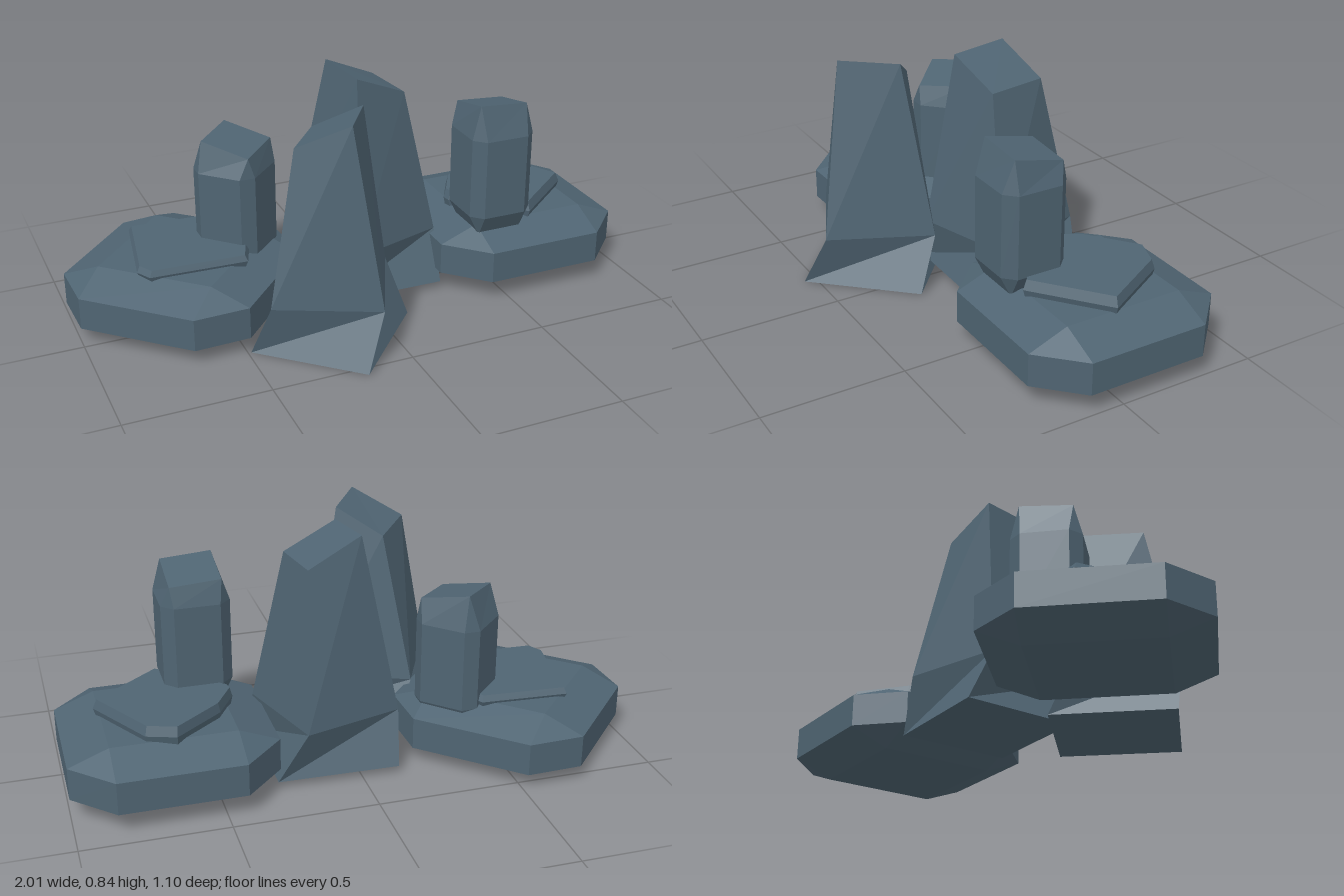
import * as THREE from 'three';

const stone = new THREE.MeshStandardMaterial({ color: 0x4f6472, flatShading: true, roughness: 0.9 });

// Skin closed rings (bottom to top, counter-clockwise from above) and cap both ends
function loft(name, rings) {
  const pos = [];
  const same = (p, q) => p.every((v, i) => Math.abs(v - q[i]) < 1e-5);
  const tri = (a, b, c) => {
    if (!same(a, b) && !same(b, c) && !same(a, c)) pos.push(...a, ...b, ...c);
  };
  const n = rings[0].length;
  for (let r = 0; r < rings.length - 1; r++) {
    for (let i = 0; i < n; i++) {
      const j = (i + 1) % n, lo = rings[r], hi = rings[r + 1];
      tri(lo[i], lo[j], hi[j]);
      tri(lo[i], hi[j], hi[i]);
    }
  }
  const bottom = rings[0], top = rings[rings.length - 1];
  for (let i = 1; i < n - 1; i++) {
    tri(bottom[0], bottom[i + 1], bottom[i]);
    tri(top[0], top[i], top[i + 1]);
  }
  const geo = new THREE.BufferGeometry();
  geo.setAttribute('position', new THREE.Float32BufferAttribute(pos, 3));
  geo.computeVertexNormals();
  const mesh = new THREE.Mesh(geo, stone);
  mesh.name = name;
  return mesh;
}

const level = (y, pts) => pts.map(([x, z]) => [x, y, z]);

// Square with cut corners, and the same ring collapsed to a plain square
const octagon = (h, a) => [[-a, h], [a, h], [h, a], [h, -a], [a, -h], [-a, -h], [-h, -a], [-h, a]];
const square = (q) => octagon(q, q);

// Bevelled slab
function slab(name, x, y, z, angle) {
  const mesh = loft(name, [
    level(0, square(0.215)),
    level(0.055, octagon(0.355, 0.215)),
    level(0.17, octagon(0.355, 0.215)),
    level(0.225, square(0.215)),
  ]);
  mesh.position.set(x, y, z);
  mesh.rotation.y = angle;
  return mesh;
}

// Small bevelled column with a slanted top
function column(name, x, y, z, angle) {
  const tilt = (p) => [p[0], 0.475 - 0.07 * p[0] + 0.22 * (p[2] - 0.01), p[2] - 0.01];
  const mesh = loft(name, [
    level(0, square(0.08)),
    level(0.08, octagon(0.12, 0.08)),
    level(0.375, octagon(0.12, 0.08)),
    level(0, square(0.09)).map(tilt),
  ]);
  mesh.position.set(x, y, z);
  mesh.rotation.y = angle;
  return mesh;
}

// Thin rock: outline with a slightly inset top
function flatRock(name, y0, y1, outline) {
  const cx = outline.reduce((s, p) => s + p[0], 0) / outline.length;
  const cz = outline.reduce((s, p) => s + p[1], 0) / outline.length;
  const inset = (k) => outline.map(([x, z]) => [cx + (x - cx) * k, cz + (z - cz) * k]);
  return loft(name, [
    level(y0, inset(0.96)),
    level(y0 + (y1 - y0) * 0.5, outline),
    level(y1, inset(0.95)),
  ]);
}

export function createModel() {
  const group = new THREE.Group();
  group.name = 'rockFormation';

  // Tall tapering towers with a flared, twisted foot
  group.add(loft('frontTower', [
    level(0.005, [[-0.18, 0.545], [0.11, 0.225], [-0.2, -0.055], [-0.49, 0.26]]),
    level(0.195, [[-0.1, 0.49], [0.06, 0.14], [-0.28, 0], [-0.44, 0.33]]),
    [[-0.17, 0.825, 0.385], [-0.055, 0.815, 0.205], [-0.2, 0.725, 0.105], [-0.33, 0.735, 0.28]],
  ]));
  group.add(loft('backTower', [
    level(0.03, [[-0.13, -0.32], [-0.12, 0.1], [0.3, 0.105], [0.3, -0.31]]),
    level(0.21, [[-0.15, -0.24], [-0.03, 0.125], [0.31, 0.02], [0.2, -0.34]]),
    [[-0.03, 0.845, -0.185], [0, 0.835, 0.025], [0.195, 0.75, -0.01], [0.165, 0.755, -0.22]],
  ]));

  // Slabs on both sides
  group.add(slab('leftSlab', 0.645, 0.023, -0.09, 0));
  group.add(slab('rightSlab', -0.6, 0.003, -0.145, THREE.MathUtils.degToRad(47)));

  // Columns standing on the slabs
  group.add(column('leftColumn', 0.505, 0.22, 0.075, 0));
  group.add(column('rightColumn', -0.385, 0.13, -0.175, THREE.MathUtils.degToRad(225)));

  // Thin rocks lying on the slabs
  group.add(flatRock('leftFlatRock', 0.235, 0.303, [
    [0.64, 0.145], [0.88, -0.05], [0.74, -0.3], [0.64, -0.335], [0.47, -0.2], [0.405, -0.09], [0.41, -0.06],
  ]));
  group.add(flatRock('rightFlatRock', 0.215, 0.258, [
    [-0.765, 0.035], [-0.42, 0.05], [-0.34, -0.16], [-0.43, -0.325], [-0.74, -0.345], [-0.795, -0.02],
  ]));

  return group;
}
